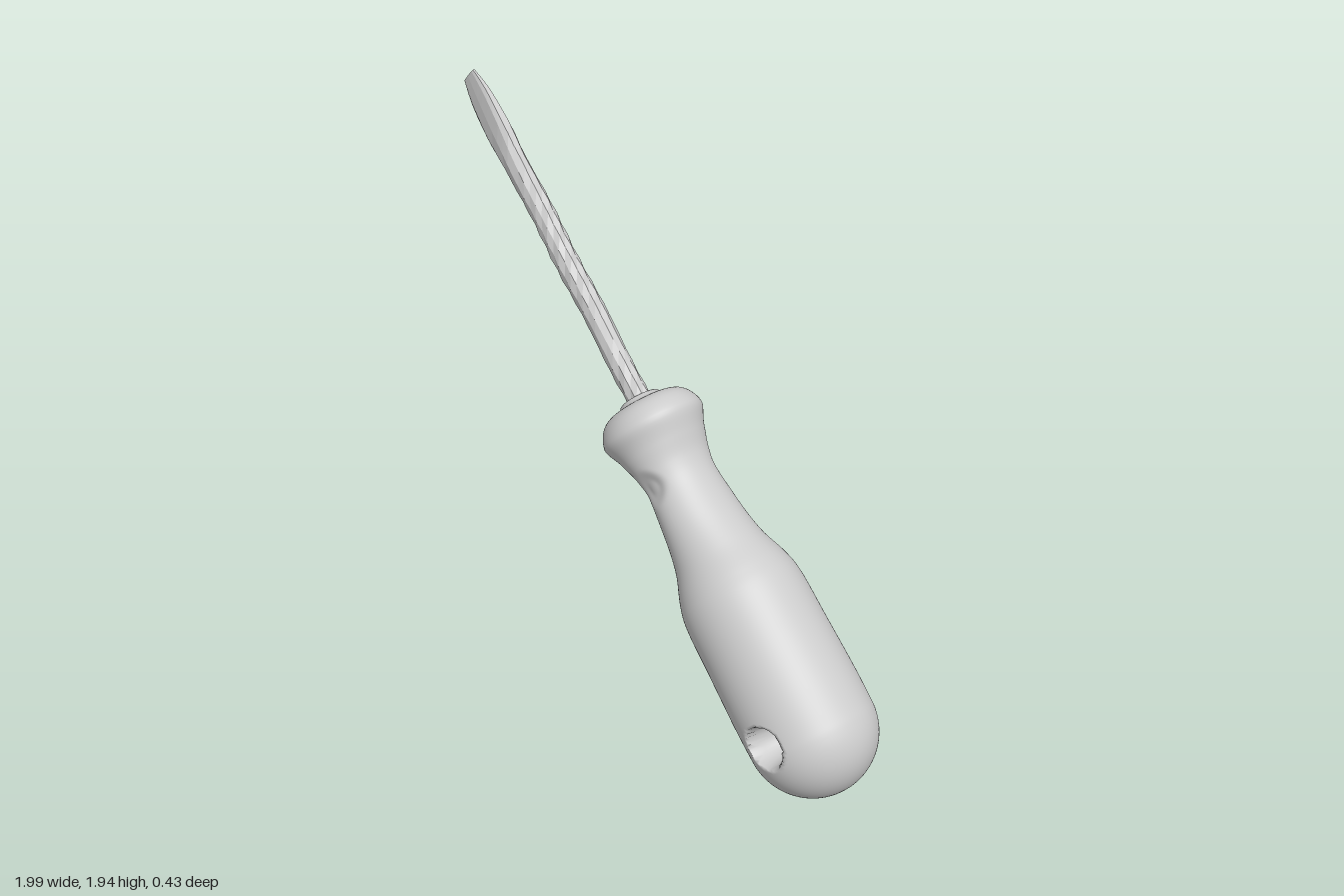
import * as THREE from 'three';
import { mergeVertices } from 'three/addons/utils/BufferGeometryUtils.js';

const grey = (flatShading) => new THREE.MeshStandardMaterial({ color: 0xcccccc, flatShading });
const smooth = THREE.MathUtils.smoothstep;

// Visit every vertex and replace it with the result of rule(v)
function deform(geometry, rule) {
  const pos = geometry.attributes.position, v = new THREE.Vector3();
  for (let i = 0; i < pos.count; i++) {
    v.fromBufferAttribute(pos, i);
    rule(v);
    pos.setXYZ(i, v.x, v.y, v.z);
  }
  geometry.computeVertexNormals();
  return geometry;
}

// Interpolate rows of [y, a, b] at height y
function rowAt(rows, y) {
  let i = 1;
  while (i < rows.length - 1 && rows[i][0] < y) i++;
  const [p, q] = [rows[i - 1], rows[i]];
  const k = THREE.MathUtils.clamp((y - p[0]) / (q[0] - p[0]), 0, 1);
  return [1, 2].map((j) => THREE.MathUtils.lerp(p[j], q[j], k));
}

// Turned grip: round butt, swelling body, narrow neck and flared collar
function makeHandle() {
  const profile = [];
  const R = 0.213;
  for (let i = 0; i <= 10; i++) {
    const a = (i / 10) * Math.PI / 2;
    profile.push(new THREE.Vector2(R * Math.sin(a), -R * Math.cos(a)));
  }
  for (const [r, y] of [[0.214, 0.12], [0.21, 0.3], [0.206, 0.46], [0.19, 0.54], [0.153, 0.64],
    [0.124, 0.75], [0.107, 0.87], [0.113, 0.95], [0.142, 1.02], [0.173, 1.08], [0.175, 1.11],
    [0.156, 1.15], [0.125, 1.175], [0.075, 1.188], [0.066, 1.2], [0.04, 1.205], [0, 1.205]]) {
    profile.push(new THREE.Vector2(r, y));
  }
  const points = new THREE.SplineCurve(profile).getSpacedPoints(170);
  points.forEach((p) => { p.x = Math.max(p.x, 0); });
  points[0].x = points[points.length - 1].x = 0;
  let geometry = new THREE.LatheGeometry(points, 128);
  geometry.deleteAttribute('uv');
  geometry.deleteAttribute('normal');
  geometry = mergeVertices(geometry, 1e-5);
  deform(geometry, (v) => {
    // The neck is a little wider from side to side
    v.z *= 1 + 0.2 * smooth(v.y, 0.6, 0.85) * (1 - smooth(v.y, 0.93, 1.07));
    const side = Math.sign(v.z);
    // Hanging-hole pits and shallow neck dimples on both sides
    const hole = Math.hypot(v.x - 0.011, v.y - 0.02);
    const dimple = Math.hypot(v.x, v.y - 0.91);
    if (Math.abs(v.z) > 0.05) {
      v.z -= side * 0.12 * (1 - smooth(hole, 0.052, 0.072));
      v.z -= side * 0.016 * (1 - smooth(dimple, 0.02, 0.07));
    }
  });
  const mesh = new THREE.Mesh(geometry, grey(false));
  mesh.name = 'handle';
  return mesh;
}

// Rough shaft that flattens into a wedge-shaped blade; rows are [y, half width, half thickness]
function makeShaft() {
  const rows = [[1.15, 0.043, 0.038], [1.7, 0.046, 0.039], [2.0, 0.047, 0.038], [2.12, 0.052, 0.034],
    [2.2, 0.06, 0.029], [2.34, 0.058, 0.018], [2.41, 0.045, 0.011], [2.44, 0.036, 0.007]];
  const geometry = new THREE.CylinderGeometry(1, 1, 1.29, 10, 30);
  deform(geometry, (v) => {
    const y = v.y + 1.795;
    const [w, d] = rowAt(rows, y);
    const angle = Math.atan2(v.z, v.x);
    const rough = 1 + 0.1 * Math.sin(3 * angle + y * 31) * Math.sin(y * 47 + 2 * angle) * (1 - smooth(y, 2.1, 2.25));
    // Blade sections become squarer towards the tip
    const flat = smooth(y, 2.08, 2.25);
    const square = (c) => Math.sign(c) * Math.pow(Math.abs(c), 1 - 0.4 * flat);
    v.set(square(v.x) * w * rough - 0.004 * flat, y, square(v.z) * d * rough);
  });
  const mesh = new THREE.Mesh(geometry, grey(true));
  mesh.name = 'shaftAndBlade';
  return mesh;
}

export function createModel() {
  const model = new THREE.Group();
  model.name = 'screwdriver';
  const tool = new THREE.Group();
  tool.name = 'tiltedTool';
  tool.add(makeHandle(), makeShaft());

  // Lean the tool's long axis up and to the right side, slightly backward
  const axis = new THREE.Vector3(-0.716, 0.697, -0.04).normalize();
  const across = new THREE.Vector3().crossVectors(axis, new THREE.Vector3(0, 0, 1)).normalize();
  const depth = new THREE.Vector3().crossVectors(across, axis);
  tool.quaternion.setFromRotationMatrix(new THREE.Matrix4().makeBasis(across, axis, depth));
  tool.position.set(0.785, 0.214, 0.008);
  model.add(tool);
  return model;
}
